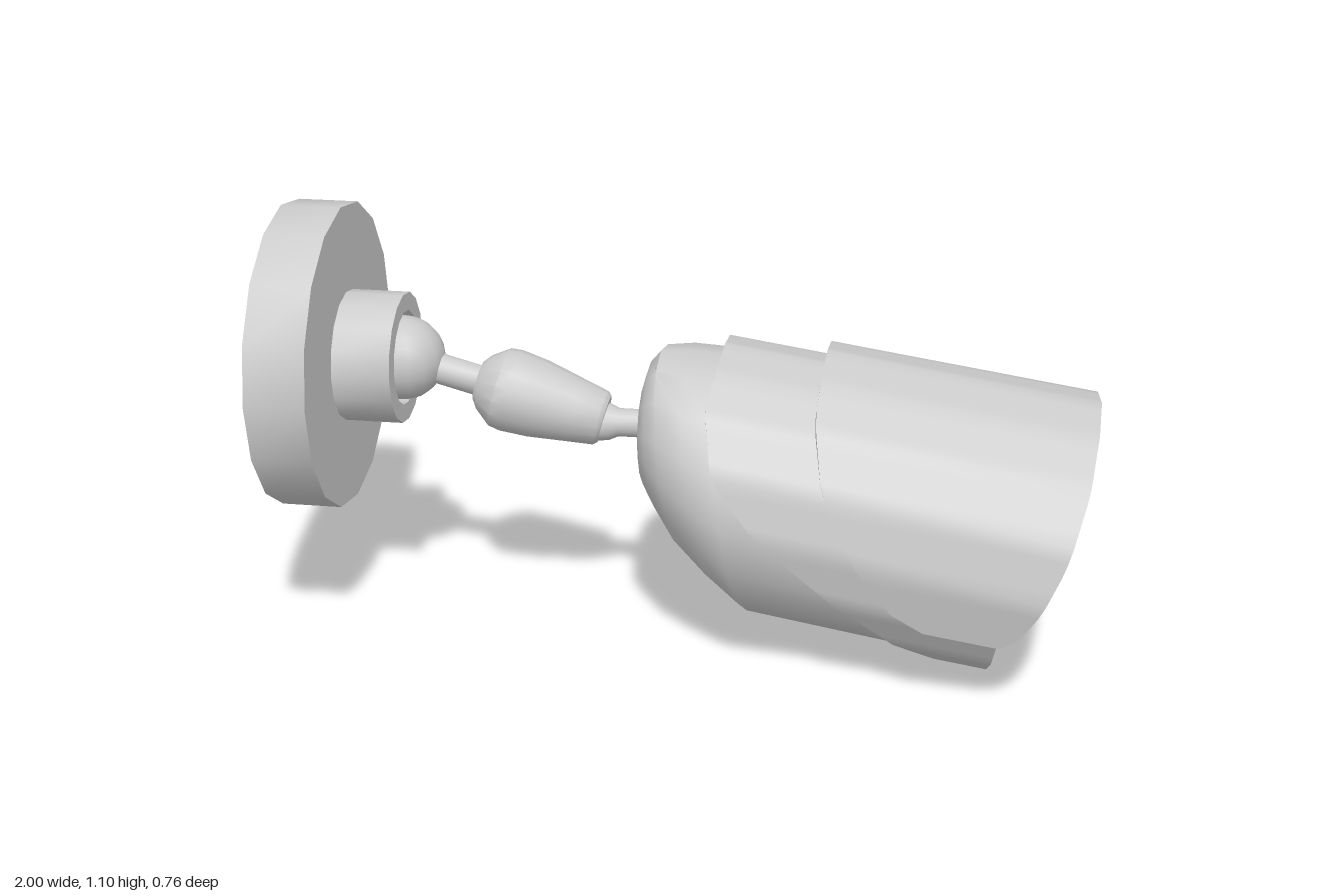
import * as THREE from 'three';
import { toCreasedNormals } from 'three/addons/utils/BufferGeometryUtils.js';

const mat = new THREE.MeshStandardMaterial({ color: 0xcccccc, side: THREE.DoubleSide });
const SIDES = 16;
const STEP = Math.PI / 32; // four steps per facet

// Camera frame: origin at the centre of the front face, x along the tilted barrel
const TILT = 0.147, CX = 0.808, CY = 0.347;
const toLocal = ([x, y]) => {
  const c = Math.cos(TILT), s = Math.sin(TILT), dx = x - CX, dy = y - CY;
  return [dx * c - dy * s, dx * s + dy * c];
};

function mesh(name, geometry, crease = 0.6) {
  const m = new THREE.Mesh(toCreasedNormals(geometry, crease), mat);
  m.name = name;
  return m;
}

// Turned part along +x; profile is [x, radius] with x rising along the outside
function turned(name, profile, sides = SIDES) {
  const g = new THREE.LatheGeometry(profile.map(([x, r]) => new THREE.Vector2(r, x)), sides);
  g.rotateZ(-Math.PI / 2);
  return mesh(name, g);
}

// Skin a grid of points: columns run around the barrel, rows run along it
function skin(columns, closeRows, capEnds) {
  const n = columns[0].length, pos = columns.flat(2), idx = [];
  for (let i = 0; i < columns.length - 1; i++) {
    for (let j = 0; j < (closeRows ? n : n - 1); j++) {
      const k = (j + 1) % n;
      const a = i * n + j, b = a + n, c = (i + 1) * n + k, d = i * n + k;
      idx.push(a, b, c, a, c, d);
    }
  }
  if (capEnds) {
    const e = (columns.length - 1) * n;
    idx.push(0, 1, 2, 0, 2, 3, e, e + 2, e + 1, e, e + 3, e + 2);
  }
  const g = new THREE.BufferGeometry();
  g.setAttribute('position', new THREE.Float32BufferAttribute(pos, 3));
  g.setIndex(idx);
  return g;
}

// Edge line given as points from top to bottom: returns s as a function of height
function edge(points) {
  const p = points.map(toLocal);
  return (v) => {
    if (v >= p[0][1]) return p[0][0];
    for (let i = 1; i < p.length; i++) {
      if (v >= p[i][1]) {
        const t = (v - p[i][1]) / (p[i - 1][1] - p[i][1]);
        return p[i][0] + t * (p[i - 1][0] - p[i][0]);
      }
    }
    return p[p.length - 1][0];
  };
}

// Faceted tube wall with shaped back and front edges, spanning +-steps around the top
function shell(name, rOut, rIn, back, front, steps) {
  const columns = [];
  for (let i = -steps; i <= steps; i++) {
    const a = i * STEP;
    const inFacet = (((i % 4) + 4) % 4) * STEP - Math.PI / SIDES;
    const k = Math.cos(Math.PI / SIDES) / Math.cos(inFacet);
    const v = rOut * k * Math.cos(a);
    const at = (s, r) => [s, r * k * Math.cos(a), r * k * Math.sin(a)];
    columns.push([at(back(v), rOut), at(front(v), rOut), at(front(v), rIn), at(back(v), rIn)]);
  }
  return mesh(name, skin(columns, true, steps < 32));
}

export function createModel() {
  const model = new THREE.Group();
  model.name = 'wallCamera';

  // Wall mount: plate, hollow socket and ball
  const mount = new THREE.Group();
  mount.name = 'wallMount';
  mount.position.y = 0.722;
  mount.add(turned('wallPlate', [[-1, 0], [-1, 0.381], [-0.85, 0.381], [-0.85, 0]]));
  mount.add(turned('socket', [[-0.85, 0.163], [-0.705, 0.163], [-0.705, 0.118], [-0.77, 0.112], [-0.77, 0]]));
  const ball = mesh('ballJoint', new THREE.SphereGeometry(0.105, 16, 12));
  ball.position.x = -0.712;
  mount.add(ball);
  model.add(mount);

  // Tapered arm with its thin neck
  const arm = turned('arm', [
    [-0.2, 0.038], [-0.05, 0.038], [-0.055, 0.05], [-0.04, 0.07], [0, 0.1], [0.03, 0.104],
    [0.1, 0.098], [0.2, 0.08], [0.262, 0.069], [0.272, 0.06], [0.272, 0],
  ]);
  arm.position.set(-0.47, 0.657, 0);
  arm.rotation.z = -0.263;
  model.add(arm);

  const stem = turned('rearStem', [[-0.22, 0.048], [-0.195, 0.046], [-0.17, 0.035], [-0.09, 0.035]]);
  stem.position.y = 0.58;
  model.add(stem);

  // Camera head
  const head = new THREE.Group();
  head.name = 'cameraHead';
  head.position.set(CX, CY, 0);
  head.rotation.z = -TILT;
  model.add(head);

  // Rounded housing: slanted oval sections [top, bottom, half width]
  const sections = [
    [[-0.108, 0.575], [-0.108, 0.575], 0],
    [[-0.104, 0.7], [-0.092, 0.43], 0.165],
    [[-0.09, 0.745], [-0.058, 0.37], 0.205],
    [[-0.065, 0.775], [0, 0.28], 0.25],
    [[0, 0.78], [0.085, 0.195], 0.293],
    [[0.07, 0.775], [0.17, 0.12], 0.318],
    [[0.83, 0.665], [0.735, 0.026], 0.325],
  ].map(([t, b, w]) => [toLocal(t), toLocal(b), w]);
  const columns = [];
  for (let i = 0; i <= SIDES; i++) {
    const a = (i / SIDES) * Math.PI * 2, k = (1 + Math.cos(a)) / 2;
    columns.push(sections.map(([t, b, w]) =>
      [b[0] + (t[0] - b[0]) * k, b[1] + (t[1] - b[1]) * k, w * Math.sin(a)]));
  }
  head.add(mesh('housing', skin(columns, false, false), 0.75));

  // Sleeve with a diagonal rear edge
  const sleeveBack = edge([[0.09, 0.79], [0.075, 0.72], [0.1, 0.58], [0.2, 0.45], [0.43, 0.24], [0.66, 0.025]]);
  head.add(shell('sleeve', 0.345, 0.333, sleeveBack, () => 0, 32));

  // Front window, set slightly behind the rim
  head.add(turned('frontWindow', [[-0.06, 0.334], [-0.012, 0.334], [-0.012, 0]]));

  // Sun visor, open underneath
  const visorBack = edge([[0.34, 0.795], [0.335, 0.72], [0.36, 0.58], [0.44, 0.41], [0.53, 0.28], [0.565, 0.25], [0.61, 0.235]]);
  const visorFront = edge([[1, 0.7], [0.975, 0.57], [0.93, 0.42], [0.87, 0.29], [0.83, 0.23], [0.79, 0.213]]);
  head.add(shell('sunVisor', 0.377, 0.354, visorBack, visorFront, 20));

  return model;
}
